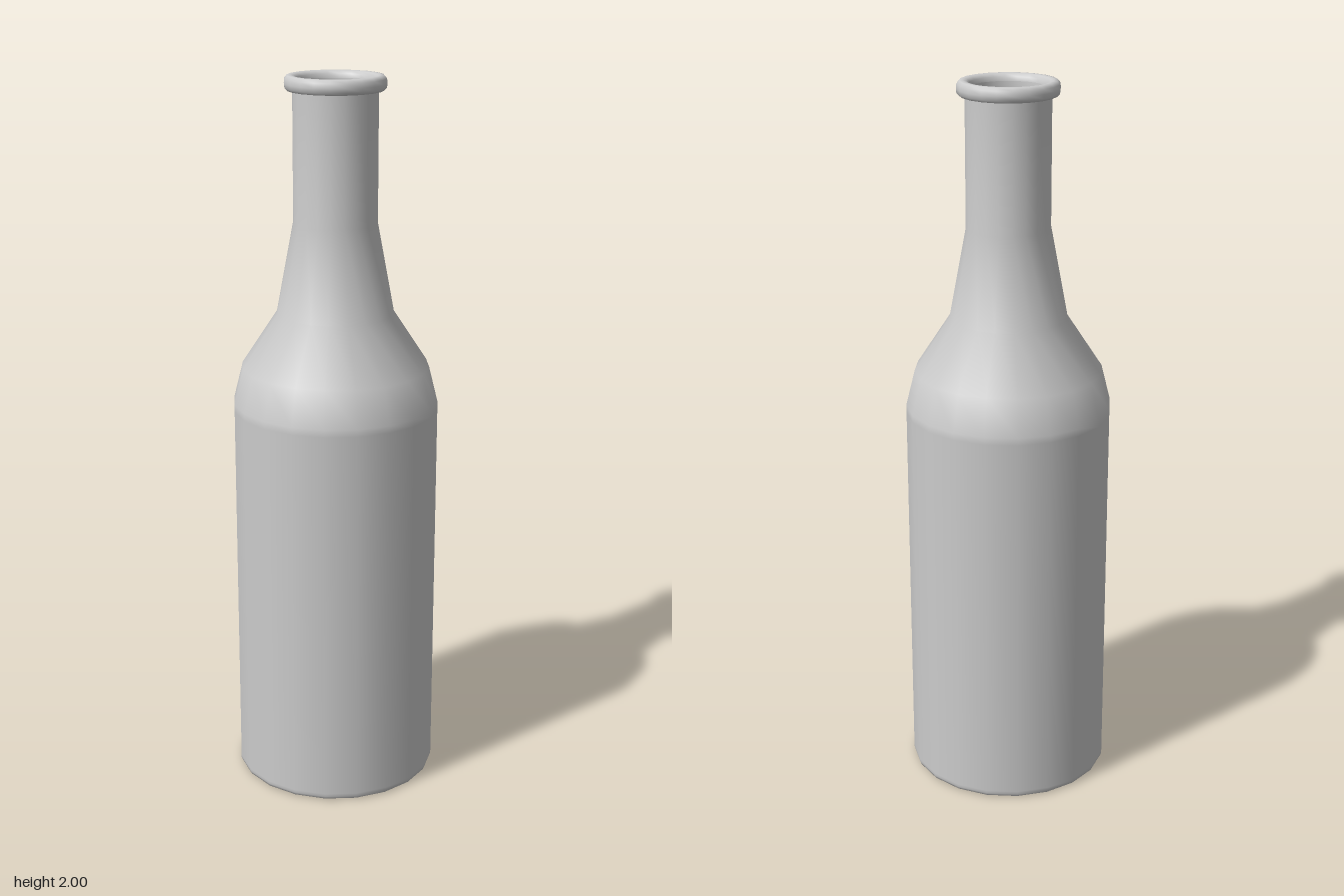
import * as THREE from 'three';

const SIDES = 20;

export function createModel() {
  const bottle = new THREE.Group();
  bottle.name = 'bottle';
  const material = new THREE.MeshStandardMaterial({ color: 0xcccccc });

  // Turns a profile of [radius, height] pairs; running upwards faces outwards
  const turn = (name, profile) => {
    const points = profile.map(([r, y]) => new THREE.Vector2(r, y));
    const mesh = new THREE.Mesh(new THREE.LatheGeometry(points, SIDES), material);
    mesh.name = name;
    bottle.add(mesh);
  };

  // Flat underside
  turn('base', [[0, 0], [0.275, 0]]);

  // Bevelled foot, straight body, shoulder and neck
  turn('body', [
    [0.275, 0], [0.282, 0.004], [0.285, 0.012], [0.285, 0.02],
    [0.285, 1.09], [0.285, 1.11], [0.26, 1.21], [0.162, 1.36],
    [0.115, 1.61], [0.115, 1.965],
  ]);

  // Rounded ring around the mouth
  turn('lip', [
    [0.114, 1.96], [0.129, 1.96], [0.136, 1.967], [0.137, 1.978],
    [0.136, 1.991], [0.129, 1.999], [0.12, 2], [0.111, 1.998],
    [0.104, 1.991], [0.102, 1.98],
  ]);

  // Inner wall, running downwards so that it faces the axis
  turn('innerWall', [
    [0.102, 1.98], [0.101, 1.96], [0.101, 1.605], [0.148, 1.352],
    [0.246, 1.2], [0.27, 1.1], [0.27, 0.02],
  ]);
  turn('innerFloor', [[0.27, 0.02], [0, 0.02]]);

  return bottle;
}
